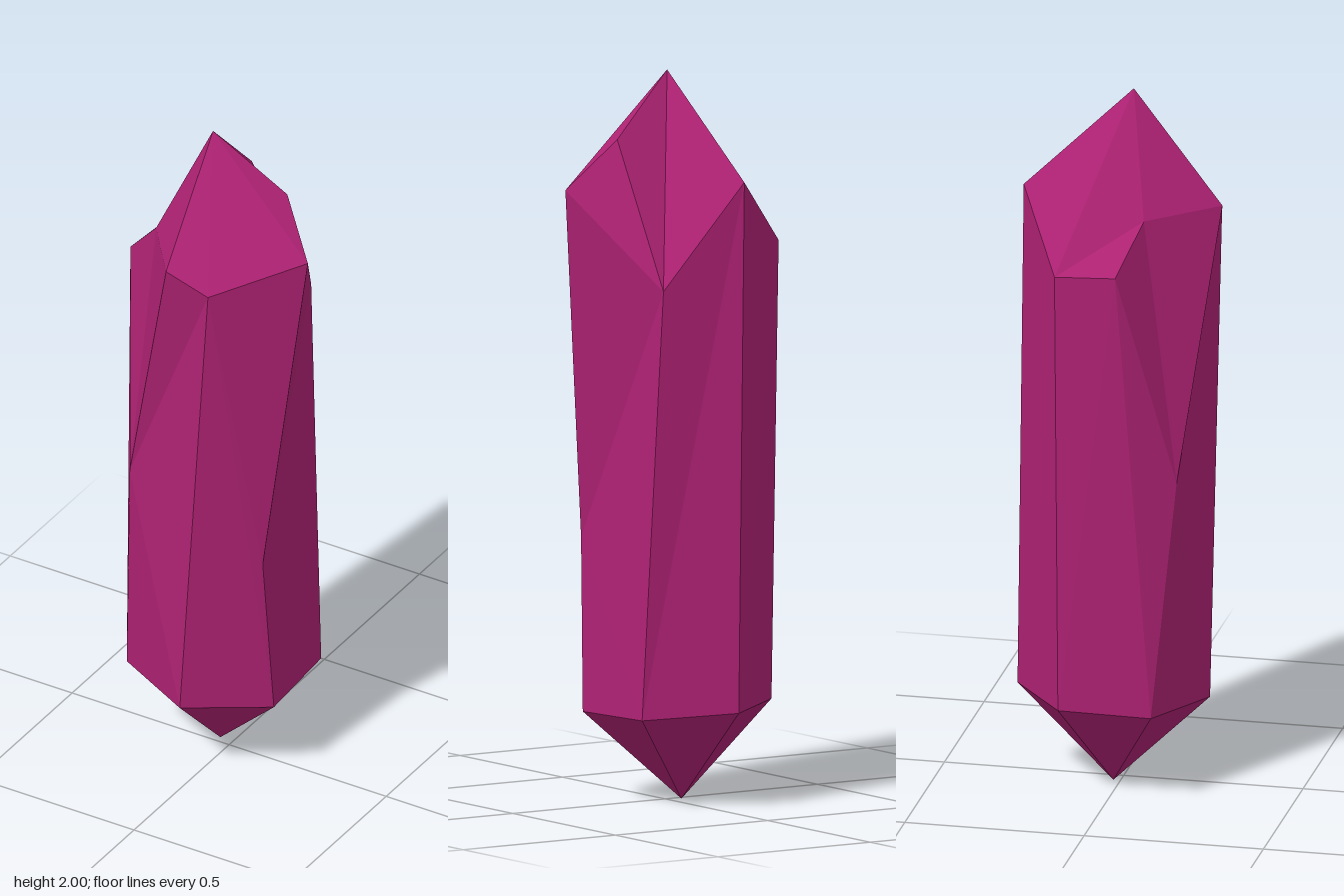
import * as THREE from 'three';

// Corner points of the crystal
const P = {
  tip: [-0.03, 2, 0.035], root: [-0.04, 0, -0.02],
  // shoulder, counter-clockwise from the back
  B: [-0.085, 1.72, -0.26], C: [-0.285, 1.53, -0.13], D: [-0.29, 1.54, 0.04],
  E: [-0.175, 1.67, 0.095], F: [-0.03, 1.68, 0.282], G: [0.087, 1.62, 0.255],
  H: [0.287, 1.69, 0.06], I: [0.172, 1.83, -0.022], J: [0.14, 1.43, -0.2],
  // notches part way up the shaft
  L: [-0.2, 0.93, 0.192], M: [0.187, 0.72, 0.132],
  // lower ring
  p0: [-0.247, 0.26, 0.13], p1: [-0.01, 0.25, 0.243], p2: [0.203, 0.245, 0.1],
  p3: [0.19, 0.25, -0.17], p4: [-0.05, 0.265, -0.285], p5: [-0.265, 0.27, -0.125],
};

// Each facet is a polygon, fanned from its first corner
function facets(name, material, polygons) {
  const pos = [];
  for (const polygon of polygons) {
    const c = polygon.split(' ');
    for (let i = 1; i < c.length - 1; i++) pos.push(...P[c[0]], ...P[c[i]], ...P[c[i + 1]]);
  }
  const geometry = new THREE.BufferGeometry();
  geometry.setAttribute('position', new THREE.Float32BufferAttribute(pos, 3));
  geometry.computeVertexNormals();
  const mesh = new THREE.Mesh(geometry, material);
  mesh.name = name;
  return mesh;
}

export function createModel() {
  const group = new THREE.Group();
  group.name = 'crystal';
  const magenta = new THREE.MeshStandardMaterial({ color: 0xae2273 });
  magenta.name = 'magenta';

  // Pointed crown
  group.add(facets('crown', magenta, [
    'tip B C', 'E tip C D', 'tip E F', 'tip F G H I', 'tip I J B', 'H J I', 'L F E D',
  ]));

  // Long six-sided shaft
  group.add(facets('shaft', magenta, [
    'P4'.toLowerCase() + ' p5 C B', 'D C p5 p0 L', 'L p0 p1 G F', 'G p1 p2 M H',
    'M p2 p3 J H', 'p3 p4 B J',
  ]));

  // Short point underneath
  const base = [];
  for (let i = 0; i < 6; i++) base.push(`root p${(i + 1) % 6} p${i}`);
  group.add(facets('lowerPoint', magenta, base));

  return group;
}
